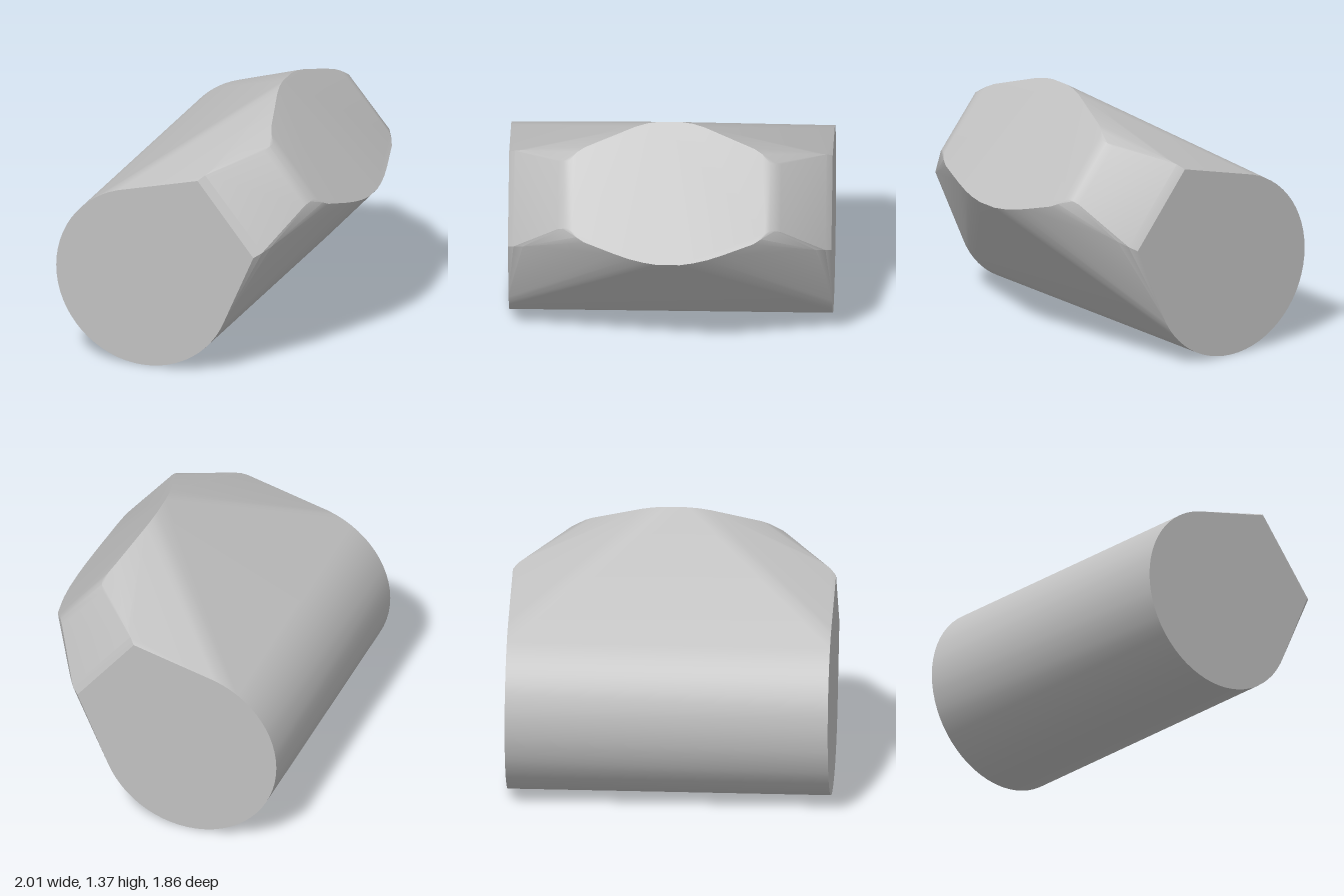
import * as THREE from 'three';
import { toCreasedNormals } from 'three/addons/utils/BufferGeometryUtils.js';
import { ConvexGeometry } from 'three/addons/geometries/ConvexGeometry.js';

const HALF = 0.84, RADIUS = 0.487, AXIS_Z = -0.066;

export function createModel() {
  const grey = new THREE.MeshStandardMaterial({ color: 0xc0c0c0 });
  grey.name = 'plain grey';
  const points = [];
  const add = (x, y, z) => points.push(new THREE.Vector3(x, y, z));
  const addPair = (x, y, z) => { add(x, y, z); add(-x, y, z); };

  // Round barrel: one ring at each end
  const segments = 64;
  for (let i = 0; i < segments; i++) {
    const a = (i / segments) * Math.PI * 2;
    addPair(HALF, RADIUS + RADIUS * Math.cos(a), AXIS_Z + RADIUS * Math.sin(a));
  }

  // Sloping front face: f runs from its top to its bottom, depth sinks behind it
  const facePoint = (x, f, depth = 0) =>
    addPair(x, 1.37 - 0.58 * f - 0.641 * depth, 0.4 + 0.485 * f - 0.767 * depth);
  const rim = [
    [0.06, 0.004], [0.12, 0.016], [0.18, 0.04], [0.44, 0.185], [0.48, 0.22],
    [0.5, 0.26], [0.5, 0.77], [0.48, 0.81], [0.44, 0.845],
    [0.28, 0.925], [0.2, 0.96], [0.13, 0.982], [0.06, 0.996],
  ];
  rim.forEach(([x, f]) => facePoint(x, f));

  // Rounded bend from the front face to the side facets
  for (const [x, depth] of [[0.525, 0.004], [0.55, 0.015], [0.58, 0.04]]) {
    facePoint(x, 0.28, depth);
    facePoint(x, 0.75, depth);
  }

  // Side facets, upper and lower corners, rounded towards the barrel ends
  const facet = [
    [0.76, 1.12, 0.3, 0.73, 0.62],
    [0.81, 1.095, 0.268, 0.708, 0.587],
    [HALF, 1.07, 0.238, 0.685, 0.55],
  ];
  for (const [x, topY, topZ, lowY, lowZ] of facet) {
    addPair(x, topY, topZ);
    addPair(x, lowY, lowZ);
  }

  const shell = new ConvexGeometry(points);
  const body = new THREE.Mesh(toCreasedNormals(shell, Math.PI / 7), grey);
  body.name = 'body';

  // Turn the barrel diagonally
  body.rotation.y = 0.586;
  body.position.set(0.006, 0, -0.004);

  const model = new THREE.Group();
  model.name = 'facetedBarrel';
  model.add(body);
  return model;
}
